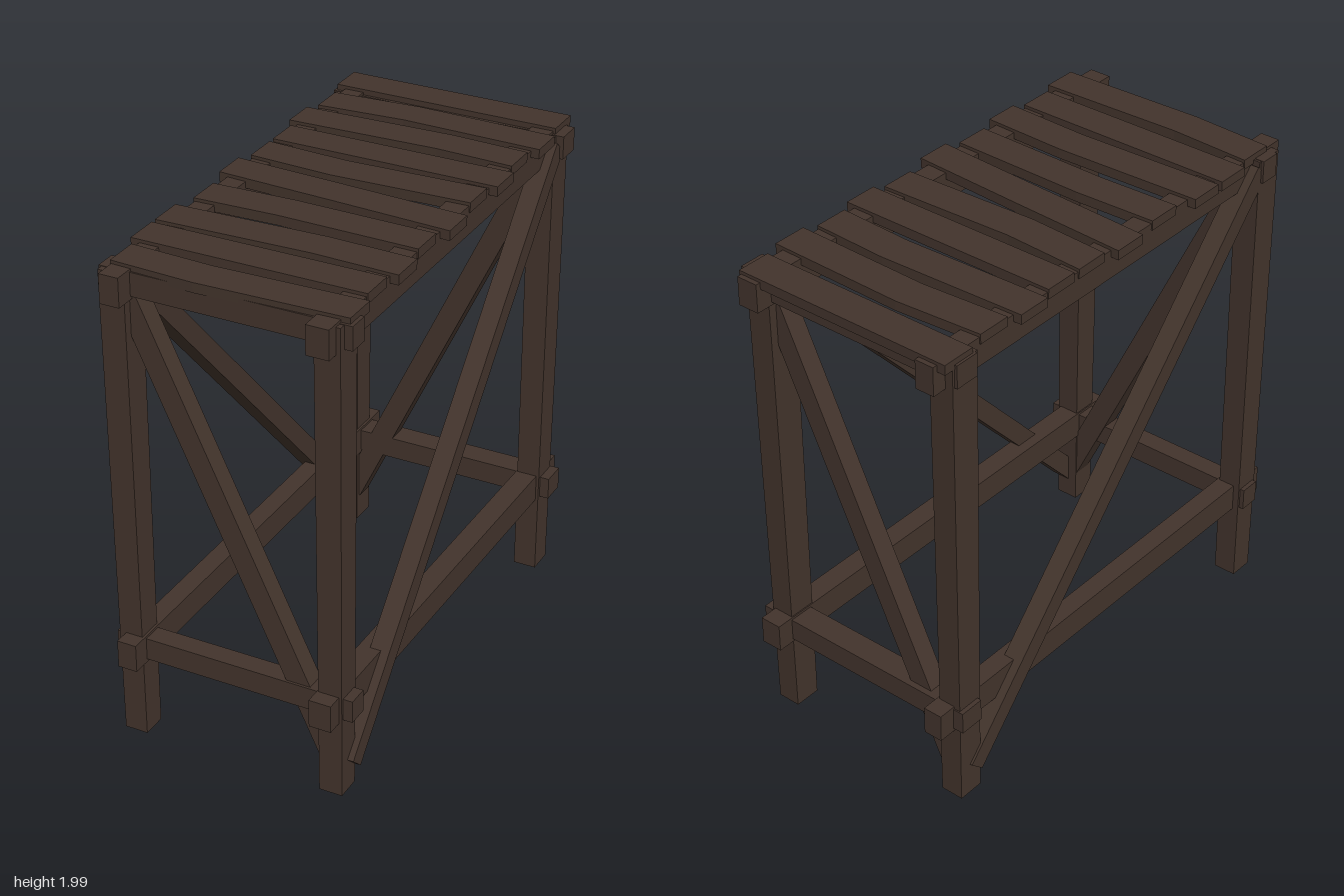
import * as THREE from 'three';

const wood = new THREE.MeshStandardMaterial({ color: 0x43342c });
wood.name = 'dark wood';

export function createModel() {
  const model = new THREE.Group();
  model.name = 'trestleStand';

  const add = (name, geometry) => {
    const mesh = new THREE.Mesh(geometry, wood);
    mesh.name = name;
    model.add(mesh);
    return mesh;
  };

  // Axis-aligned beam from its minimum and maximum corners
  const beam = (name, [x0, y0, z0], [x1, y1, z1]) => {
    const mesh = add(name, new THREE.BoxGeometry(x1 - x0, y1 - y0, z1 - z0));
    mesh.position.set((x0 + x1) / 2, (y0 + y1) / 2, (z0 + z1) / 2);
  };

  // Legs, a little thicker towards the top on their outer faces
  const legHeight = 1.965;
  const leg = (name, sx, sz, [x0, x1], [z0, z1]) => {
    const g = new THREE.BoxGeometry(x1 - x0, legHeight, z1 - z0);
    g.translate((x0 + x1) / 2, legHeight / 2, (z0 + z1) / 2);
    const p = g.attributes.position;
    for (let i = 0; i < p.count; i++) {
      if (p.getY(i) < 1) continue;
      if (p.getX(i) * sx > 0.42) p.setX(i, p.getX(i) + sx * 0.008);
      if (p.getZ(i) * sz > 0.88) p.setZ(i, p.getZ(i) + sz * 0.02);
    }
    g.computeVertexNormals();
    add(name, g);
  };
  const legX = { right: [-0.48, -0.385], left: [0.36, 0.455] };
  const legZ = { front: [0.83, 0.932], back: [-0.92, -0.81] };
  for (const [side, xs] of Object.entries(legX))
    for (const [end, zs] of Object.entries(legZ))
      leg(`${end}${side}Leg`, side === 'left' ? 1 : -1, end === 'front' ? 1 : -1, xs, zs);

  // Long side rails and short cross rails, upper and lower
  for (const [level, y0, y1] of [['lower', 0.33, 0.445], ['upper', 1.86, 1.977]]) {
    beam(level + 'RightRail', [-0.455, y0, -1], [-0.375, y1, 1]);
    beam(level + 'LeftRail', [0.355, y0, -1], [0.445, y1, 1]);
    beam(level + 'FrontRail', [-0.5, y0 + 0.013, 0.84], [0.495, y1 - 0.01, 0.925]);
    beam(level + 'BackRail', [-0.5, y0 + 0.013, -0.93], [0.495, y1 - 0.01, -0.825]);
  }

  // Diagonal braces, one on each side
  const brace = (name, from, to, width, depth) => {
    const a = new THREE.Vector3(...from), b = new THREE.Vector3(...to);
    const dir = b.clone().sub(a);
    const alongZ = Math.abs(dir.z) > Math.abs(dir.x);
    const g = alongZ
      ? new THREE.BoxGeometry(depth, dir.length(), width)
      : new THREE.BoxGeometry(width, dir.length(), depth);
    const mesh = add(name, g);
    mesh.position.copy(a).add(b).multiplyScalar(0.5);
    mesh.quaternion.setFromUnitVectors(new THREE.Vector3(0, 1, 0), dir.normalize());
  };
  brace('frontBrace', [0.41, 0.13, 0.875], [-0.42, 1.89, 0.875], 0.09, 0.08);
  brace('backBrace', [-0.42, 0.13, -0.865], [0.41, 1.89, -0.865], 0.09, 0.08);
  brace('leftBrace', [0.44, 0.11, 0.86], [0.44, 1.92, -0.83], 0.08, 0.08);
  brace('rightBrace', [-0.45, 0.11, -0.84], [-0.45, 1.92, 0.85], 0.08, 0.08);

  // Uneven deck planks: x start, x end, bend x, then back-edge z at start, bend, end
  const planks = [
    [-0.49, 0.455, 0, -0.98, -0.98, -0.98],
    [-0.46, 0.48, -0.1, -0.76, -0.785, -0.77],
    [-0.49, 0.45, 0.13, -0.58, -0.6, -0.585],
    [-0.46, 0.48, 0, -0.395, -0.395, -0.395],
    [-0.46, 0.45, -0.12, -0.225, -0.205, -0.225],
    [-0.49, 0.485, 0, -0.04, -0.012, 0.018],
    [-0.46, 0.45, -0.12, 0.2, 0.188, 0.2],
    [-0.49, 0.48, 0.13, 0.42, 0.4, 0.412],
    [-0.49, 0.45, 0, 0.585, 0.585, 0.585],
    [-0.46, 0.48, -0.12, 0.77, 0.787, 0.77],
  ];
  planks.forEach(([x0, x1, xb, z0, zb, z1], i) => {
    const w = 0.143;
    const outline = [[x0, z0 + w], [xb, zb + w], [x1, z1 + w], [x1, z1], [xb, zb], [x0, z0]];
    const shape = new THREE.Shape(outline.map(([x, z]) => new THREE.Vector2(x, -z)));
    const g = new THREE.ExtrudeGeometry(shape, { depth: 0.04, bevelEnabled: false });
    g.rotateX(-Math.PI / 2);
    add('deckPlank' + (i + 1), g).position.y = 1.95;
  });

  return model;
}
